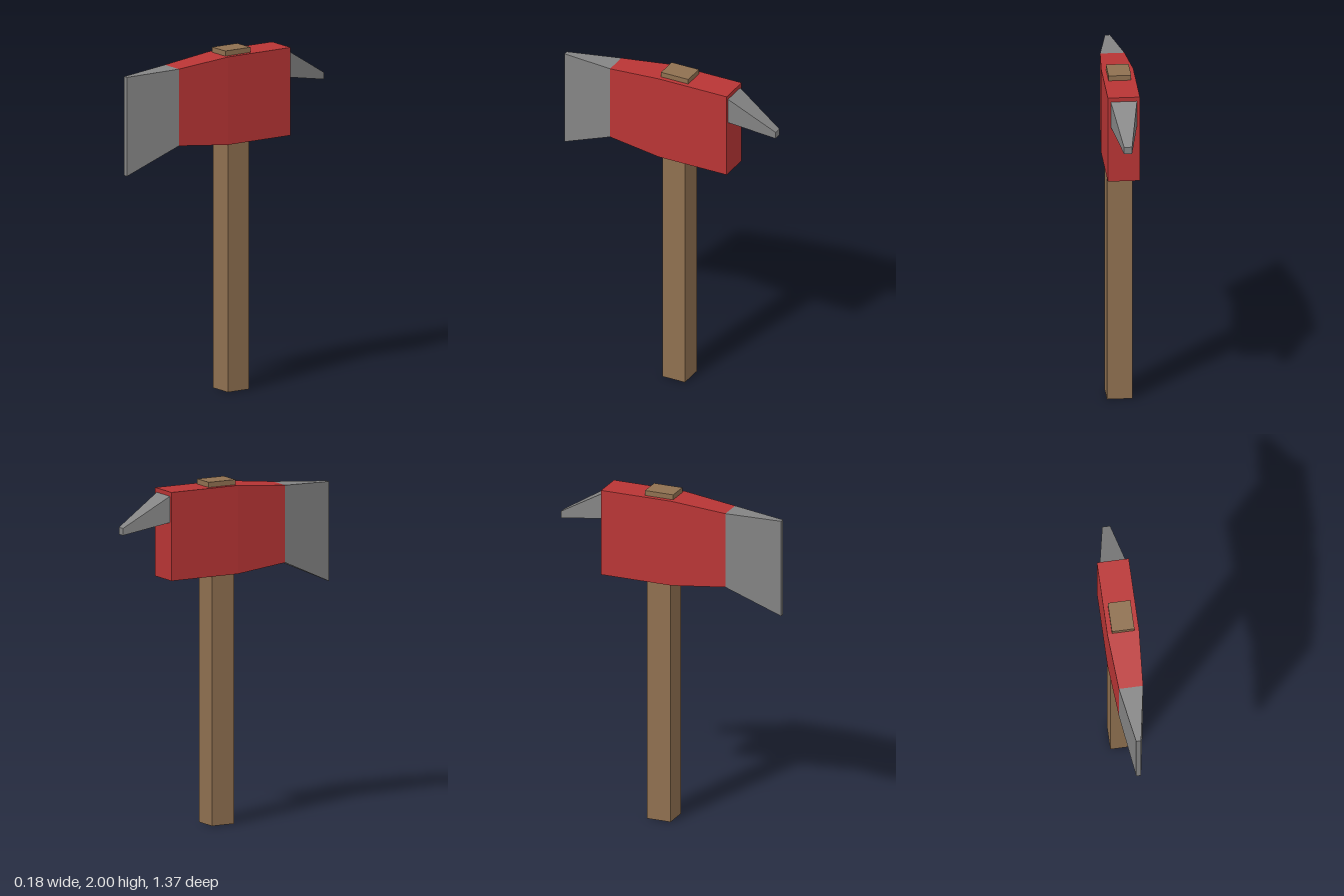
import * as THREE from 'three';

const material = (name, color) => {
  const m = new THREE.MeshStandardMaterial({ color });
  m.name = name;
  return m;
};

// Lofts rectangular sections [z, halfWidth, bottom, top], ordered from back to front
function loft(sections) {
  const ring = ([z, h, y0, y1]) => [[-h, y0, z], [h, y0, z], [h, y1, z], [-h, y1, z]];
  const rings = sections.map(ring);
  const pos = [];
  const quad = (a, b, c, d) => pos.push(...a, ...b, ...c, ...a, ...c, ...d);
  for (let i = 0; i < rings.length - 1; i++) {
    for (let j = 0; j < 4; j++) {
      const k = (j + 1) % 4;
      quad(rings[i][j], rings[i][k], rings[i + 1][k], rings[i + 1][j]);
    }
  }
  quad(...rings[rings.length - 1]);
  quad(...[...rings[0]].reverse());
  const geometry = new THREE.BufferGeometry();
  geometry.setAttribute('position', new THREE.Float32BufferAttribute(pos, 3));
  geometry.computeVertexNormals();
  return geometry;
}

export function createModel() {
  const model = new THREE.Group();
  model.name = 'axe';
  const wood = material('wood', 0x8f7050);
  const red = material('red paint', 0xb93535);
  const steel = material('steel', 0x848484);

  const add = (name, mat, sections) => {
    const mesh = new THREE.Mesh(loft(sections), mat);
    mesh.name = name;
    model.add(mesh);
  };

  // Handle and its wider end showing above the head
  add('handle', wood, [[-0.125, 0.073, 0, 1.5], [0.021, 0.073, 0, 1.5]]);
  add('handleTop', wood, [[-0.142, 0.065, 1.9, 2], [0.034, 0.065, 1.9, 2]]);

  // Painted head, tapering towards the blade
  add('head', red, [
    [-0.405, 0.092, 1.455, 1.97],
    [0.035, 0.092, 1.455, 1.97],
    [0.362, 0.07, 1.487, 1.937],
  ]);

  // Flared cutting blade
  add('blade', steel, [[0.362, 0.07, 1.487, 1.937], [0.686, 0.014, 1.34, 1.92]]);

  // Drooping rear pick
  add('pick', steel, [[-0.686, 0.023, 1.735, 1.776], [-0.405, 0.075, 1.792, 1.945]]);

  return model;
}
